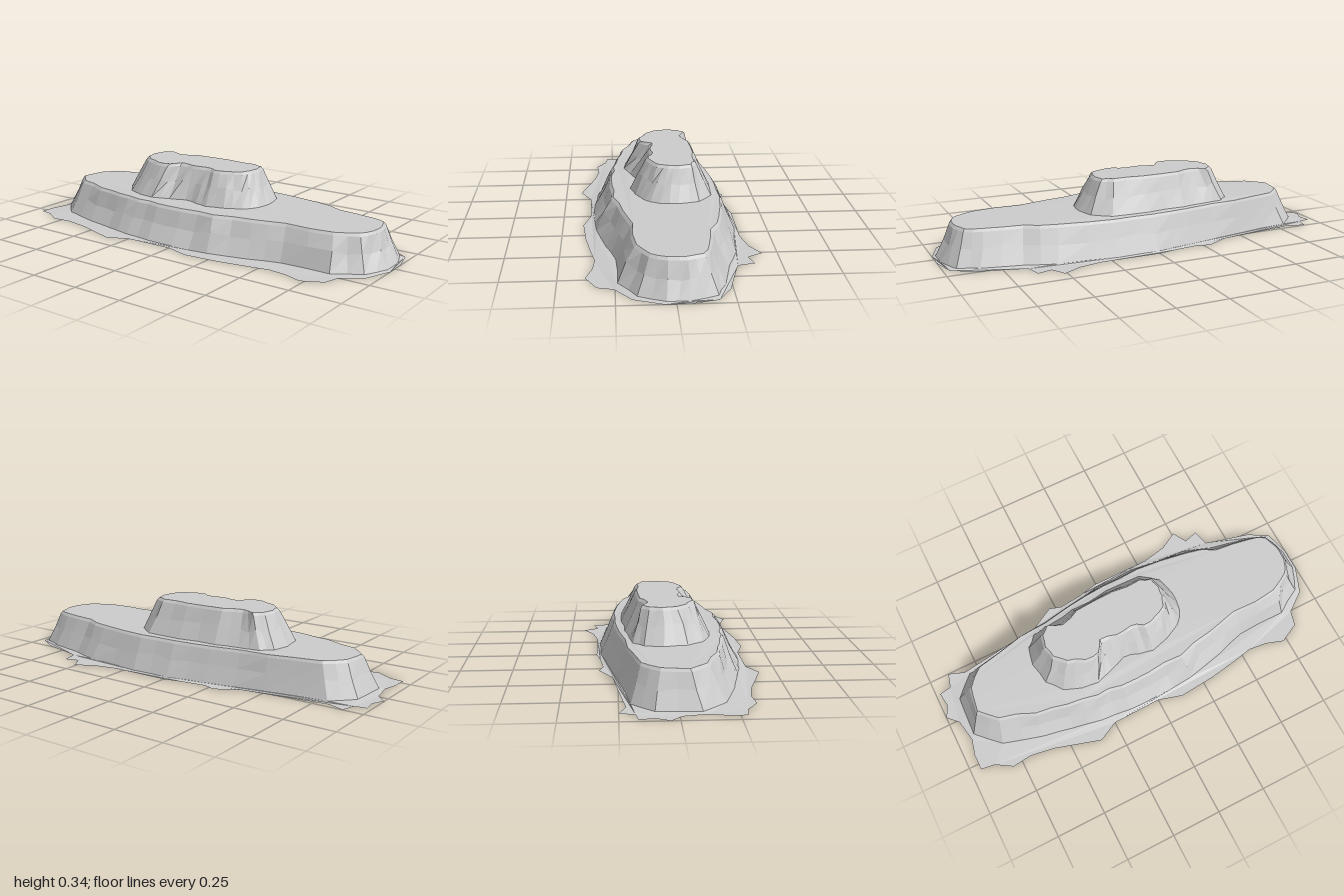
import * as THREE from 'three';

// Outlines as [x, z], running counterclockwise seen from above
const SKIRT = [
  [-0.93, 0.12], [-0.95, 0.20], [-0.95, 0.28], [-0.88, 0.29], [-0.80, 0.34], [-0.70, 0.33], [-0.58, 0.35],
  [-0.45, 0.39], [-0.35, 0.42], [-0.25, 0.37], [0, 0.365], [0.12, 0.40], [0.30, 0.385], [0.45, 0.36],
  [0.55, 0.34], [0.64, 0.35], [0.73, 0.38], [0.83, 0.33], [0.85, 0.255], [0.95, 0.18], [1, 0.05],
  [1, -0.06], [0.97, -0.18], [0.87, -0.24], [0.75, -0.27], [0.64, -0.30], [0.62, -0.38], [0.55, -0.36],
  [0.51, -0.43], [0.42, -0.38], [0.30, -0.355], [0.15, -0.355], [0, -0.355], [-0.10, -0.335], [-0.22, -0.32],
  [-0.28, -0.34], [-0.40, -0.275], [-0.60, -0.25], [-0.82, -0.22], [-0.90, -0.25], [-0.92, -0.18],
  [-0.98, -0.17], [-0.97, -0.10], [-1, -0.04], [-0.95, 0.01],
];
const FOOT = [
  [-0.91, 0.10], [-0.80, 0.21], [-0.60, 0.27], [-0.45, 0.30], [-0.30, 0.33], [-0.15, 0.345], [0, 0.345],
  [0.20, 0.335], [0.40, 0.29], [0.55, 0.245], [0.80, 0.24], [0.93, 0.16], [0.985, 0.04], [0.985, -0.06],
  [0.94, -0.18], [0.84, -0.22], [0.65, -0.26], [0.50, -0.31], [0.20, -0.34], [0, -0.335], [-0.20, -0.30],
  [-0.50, -0.245], [-0.80, -0.20], [-0.90, -0.10],
];
const SHELF = [
  [-0.84, 0.05], [-0.76, 0.13], [-0.59, 0.19], [-0.43, 0.22], [-0.28, 0.245], [-0.15, 0.255], [0, 0.255],
  [0.18, 0.25], [0.37, 0.205], [0.53, 0.165], [0.77, 0.155], [0.87, 0.10], [0.905, 0.03], [0.905, -0.05],
  [0.88, -0.12], [0.80, -0.15], [0.62, -0.175], [0.47, -0.23], [0.20, -0.265], [0, -0.26], [-0.20, -0.24],
  [-0.49, -0.205], [-0.74, -0.15], [-0.82, -0.07],
];
const UPPER_FOOT = [
  [-0.50, -0.04], [-0.48, 0.07], [-0.42, 0.145], [-0.33, 0.18], [-0.25, 0.19], [-0.16, 0.16], [-0.08, 0.13],
  [0, 0.15], [0.07, 0.165], [0.16, 0.14], [0.24, 0.10], [0.29, 0.03], [0.30, -0.06], [0.275, -0.16],
  [0.19, -0.225], [0, -0.23], [-0.20, -0.215], [-0.32, -0.195], [-0.43, -0.18], [-0.48, -0.13],
];
const UPPER_TOP = [
  [-0.415, -0.04], [-0.40, 0.02], [-0.35, 0.07], [-0.27, 0.105], [-0.20, 0.10], [-0.165, 0.045], [-0.08, 0.06],
  [0, 0.05], [0.06, 0.075], [0.13, 0.06], [0.19, 0.03], [0.21, -0.02], [0.215, -0.07], [0.20, -0.125],
  [0.15, -0.145], [0, -0.15], [-0.20, -0.14], [-0.29, -0.105], [-0.36, -0.135], [-0.40, -0.10],
];

// Repeatable roughness in the range -1 to 1, tied to position
function rough(x, z) {
  const s = Math.sin(x * 127.1 + z * 311.7) * 437.5;
  return (s - Math.floor(s)) * 2 - 1;
}

// Insert a slightly displaced point in the middle of each outline edge
function refine(loop, amount) {
  return loop.flatMap(([x, z], i) => {
    const [x2, z2] = loop[(i + 1) % loop.length];
    const mx = (x + x2) / 2, mz = (z + z2) / 2;
    return [[x, z], [mx + rough(mz, mx) * amount * 0.5, mz + rough(mx, mz) * amount]];
  });
}

// Flat rocky ground between an outline and an optional hole
function slab(outline, hole, height, holeHeight = height) {
  const points = (loop) => loop.map(([x, z]) => new THREE.Vector2(x, -z));
  const shape = new THREE.Shape(points(outline));
  if (hole) shape.holes.push(new THREE.Path(points(hole)));
  const geometry = new THREE.ShapeGeometry(shape).rotateX(-Math.PI / 2);
  const p = geometry.attributes.position;
  for (let i = 0; i < p.count; i++) p.setY(i, i < outline.length ? height : holeHeight);
  geometry.computeVertexNormals();
  return geometry;
}

// Sloping cliff between two matching outlines, with a rough middle ring
function cliff(bottom, top, y0, y1) {
  const n = bottom.length;
  const rings = [0, 0.5, 0.92, 1].map((t) => bottom.map(([x, z], i) => {
    const bump = t === 0.5 ? rough(x, z) * 0.006 : 0;
    const across = t === 0.92 ? 0.86 : t;
    return [
      x + (top[i][0] - x) * across + bump,
      y0 + (y1 - y0) * t + bump * 2,
      z + (top[i][1] - z) * across + bump,
    ];
  }));
  const index = [];
  for (let r = 0; r < rings.length - 1; r++) {
    for (let i = 0; i < n; i++) {
      const a = r * n + i, b = r * n + (i + 1) % n;
      index.push(a, b, b + n, a, b + n, a + n);
    }
  }
  const geometry = new THREE.BufferGeometry();
  geometry.setAttribute('position', new THREE.Float32BufferAttribute(rings.flat(2), 3));
  geometry.setIndex(index);
  geometry.computeVertexNormals();
  return geometry;
}

export function createModel() {
  const group = new THREE.Group();
  group.name = 'rockPlateau';
  const stone = new THREE.MeshStandardMaterial({ color: 0xcccccc, flatShading: true, side: THREE.DoubleSide });
  stone.name = 'pale grey stone';

  const add = (name, geometry) => {
    const mesh = new THREE.Mesh(geometry, stone);
    mesh.name = name;
    group.add(mesh);
  };

  const foot = refine(FOOT, 0.006);
  const shelf = refine(SHELF, 0.01);
  const upperFoot = refine(UPPER_FOOT, 0.008);
  const upperTop = refine(UPPER_TOP, 0.008);

  // Open underneath: ragged rim, lower cliff, shelf, upper cliff, summit
  add('groundRim', slab(SKIRT, foot, 0, 0.006));
  add('lowerCliff', cliff(foot, shelf, 0.006, 0.17));
  add('shelf', slab(shelf, upperFoot, 0.17, 0.173));
  add('upperCliff', cliff(upperFoot, upperTop, 0.173, 0.335));
  add('summit', slab(upperTop, null, 0.335));
  return group;
}
